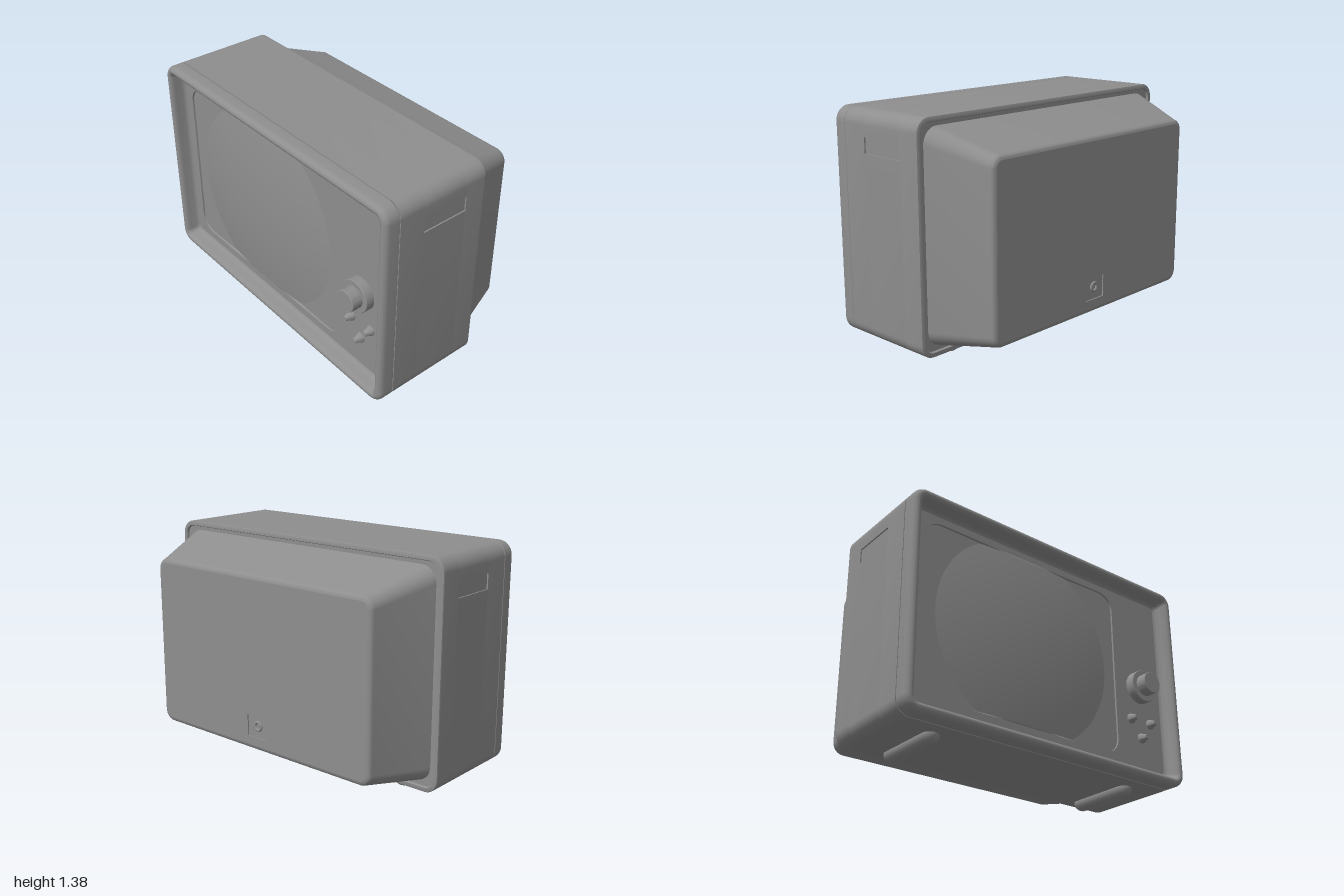
import * as THREE from 'three';
import { toCreasedNormals } from 'three/addons/utils/BufferGeometryUtils.js';

const material = new THREE.MeshStandardMaterial({ color: 0x8e8e8e });

// Points of a rounded rectangle, counter-clockwise
function roundRect(x0, x1, y0, y1, r, steps = 10) {
  const points = [];
  const corners = [[x1 - r, y0 + r], [x1 - r, y1 - r], [x0 + r, y1 - r], [x0 + r, y0 + r]];
  corners.forEach(([cx, cy], k) => {
    for (let i = 0; i <= steps; i++) {
      const a = (k - 1 + i / steps) * Math.PI / 2;
      points.push(new THREE.Vector2(cx + r * Math.cos(a), cy + r * Math.sin(a)));
    }
  });
  return points;
}

// The same outline with evenly spaced points, for curved surfaces
function spaced(points, count = 240) {
  const path = new THREE.Path(points);
  path.closePath();
  return path.getSpacedPoints(count).slice(0, count);
}

// Cabinet outline shrunk by an inset
const cabinet = (inset) =>
  roundRect(-1 + inset, 1 - inset, 0.055 + inset, 1.378 - inset, Math.max(0.085 - inset, 0.03));

// Skin through rings of [points, z]; z may be a rule of x and y
function loft(rings) {
  const position = [], index = [];
  const n = rings[0][0].length;
  rings.forEach(([points, z], i) => {
    points.forEach((p, j) => {
      position.push(p.x, p.y, typeof z === 'function' ? z(p.x, p.y) : z);
      if (i === 0) return;
      const k = (j + 1) % n, a = (i - 1) * n, b = i * n;
      index.push(a + j, a + k, b + k, a + j, b + k, b + j);
    });
  });
  const geometry = new THREE.BufferGeometry();
  geometry.setAttribute('position', new THREE.Float32BufferAttribute(position, 3));
  geometry.setIndex(index);
  return toCreasedNormals(geometry, 0.6);
}

// Flat plate with an optional hole
function plate(points, hole) {
  const shape = new THREE.Shape(points);
  if (hole) shape.holes.push(new THREE.Path(hole));
  return new THREE.ShapeGeometry(shape);
}

function extrude(points, z0, z1) {
  const geometry = new THREE.ExtrudeGeometry(new THREE.Shape(points), { depth: z1 - z0, bevelEnabled: false });
  return toCreasedNormals(geometry.translate(0, 0, z0), 0.6);
}

export function createModel() {
  const model = new THREE.Group();
  const add = (name, geometry, x = 0, y = 0, z = 0) => {
    const mesh = new THREE.Mesh(geometry, material);
    mesh.name = name;
    mesh.position.set(x, y, z);
    model.add(mesh);
  };

  // Cabinet in three slices; the middle one is notched for the shallow side grips
  const outline = cabinet(0);
  const quarter = outline.length / 4;
  const gripTop = 1.23, gripBottom = 1.14, gripX = 0.992;
  const notch = [[1, gripBottom], [gripX, gripBottom], [gripX, gripTop], [1, gripTop]];
  const toPoints = (list, side) => list.map(([x, y]) => new THREE.Vector2(x * side, y));
  const notched = [
    ...outline.slice(0, quarter), ...toPoints(notch, 1),
    ...outline.slice(quarter, 3 * quarter), ...toPoints([...notch].reverse(), -1),
    ...outline.slice(3 * quarter),
  ];
  add('cabinetRear', extrude(outline, -0.165, -0.04));
  add('cabinetMiddleWithGrips', extrude(notched, -0.04, 0.255));
  add('cabinetFront', extrude(outline, 0.255, 0.42));
  add('cabinetRearRim', loft(
    [[0.032, -0.165], [0.027, -0.178], [0.006, -0.178], [0.002, -0.176], [0, -0.171], [0, -0.165]]
      .map(([inset, z]) => [cabinet(inset), z])));

  // Front bezel: rounded lip that curves back to the panel
  add('bezel', loft(
    [[0.008, 0.42], [0.003, 0.422], [0, 0.426], [0, 0.485], [0.002, 0.497], [0.008, 0.508], [0.017, 0.516],
      [0.028, 0.52], [0.037, 0.519], [0.046, 0.514], [0.053, 0.504], [0.057, 0.49], [0.061, 0.47],
      [0.065, 0.453], [0.07, 0.441], [0.077, 0.434], [0.086, 0.43]]
      .map(([inset, z]) => [cabinet(inset), z])));

  // Front panel with the screen opening
  const panelZ = 0.43;
  const opening = spaced(roundRect(-0.86, 0.54, 0.19, 1.25, 0.1));
  add('frontPanel', plate(cabinet(0.086), opening), 0, 0, panelZ);

  // Bulging screen
  const cx = -0.16, cy = 0.72;
  const bulge = (x, y) => 0.47 - 0.13 * ((x - cx) ** 2 + (y - cy) ** 2);
  const edge = spaced(roundRect(-0.853, 0.533, 0.197, 1.243, 0.093));
  add('screenSurround', loft([[opening, panelZ], [edge, bulge]]));
  const screenRings = [];
  for (let i = 0; i <= 12; i++) {
    const s = 1 - i / 12;
    screenRings.push([edge.map((p) => new THREE.Vector2(cx + (p.x - cx) * s, cy + (p.y - cy) * s)), bulge]);
  }
  add('screen', loft(screenRings));

  // Turned controls, profile given as [radius, height above the panel]
  const turned = (profile) => toCreasedNormals(
    new THREE.LatheGeometry(profile.map(([r, h]) => new THREE.Vector2(r, h)), 40).rotateX(Math.PI / 2), 0.6);
  add('channelDial', turned([[0.101, 0], [0.101, 0.05], [0.098, 0.054], [0.067, 0.054],
    [0.067, 0.117], [0.064, 0.12], [0, 0.12]]), 0.736, 0.669, panelZ);
  const knob = turned([[0.031, 0], [0.03, 0.01], [0.024, 0.02], [0.017, 0.042], [0.014, 0.052], [0, 0.052]]);
  for (const [x, y] of [[0.656, 0.448], [0.817, 0.448], [0.736, 0.338]]) add('smallKnob', knob, x, y, panelZ);

  // Tapered back cover
  const rearZ = -0.548;
  const cover = (inset) => roundRect(-0.824 + inset, 0.824 - inset, 0.166 + inset, 1.207 - inset, 0.07 - inset);
  add('backCover', loft([
    [cover(0.028), rearZ], [cover(0.016), rearZ + 0.003], [cover(0.007), rearZ + 0.009],
    [cover(0.002), rearZ + 0.017], [cover(0), rearZ + 0.026],
    [roundRect(-0.947, 0.947, 0.111, 1.326, 0.095), -0.16],
  ]));

  // Back plate with a shallow socket recess
  const pocketZ = rearZ + 0.008;
  const pocket = roundRect(-0.078, 0.078, 0.245, 0.378, 0.004, 2);
  add('backPlate', plate(cover(0.028), pocket).rotateY(Math.PI), 0, 0, rearZ);
  add('socketWall', loft([[pocket, pocketZ], [pocket, rearZ]]));
  add('socketFloor', plate(pocket).rotateY(Math.PI), 0, 0, pocketZ);
  add('socketRing', new THREE.TorusGeometry(0.024, 0.009, 10, 28), 0, 0.318, pocketZ);

  // Runner feet
  const foot = new THREE.CapsuleGeometry(0.05, 0.36, 8, 20).rotateX(Math.PI / 2);
  for (const side of [-1, 1]) add(side > 0 ? 'leftFoot' : 'rightFoot', foot, side * 0.7, 0.05, 0.11);

  return model;
}
